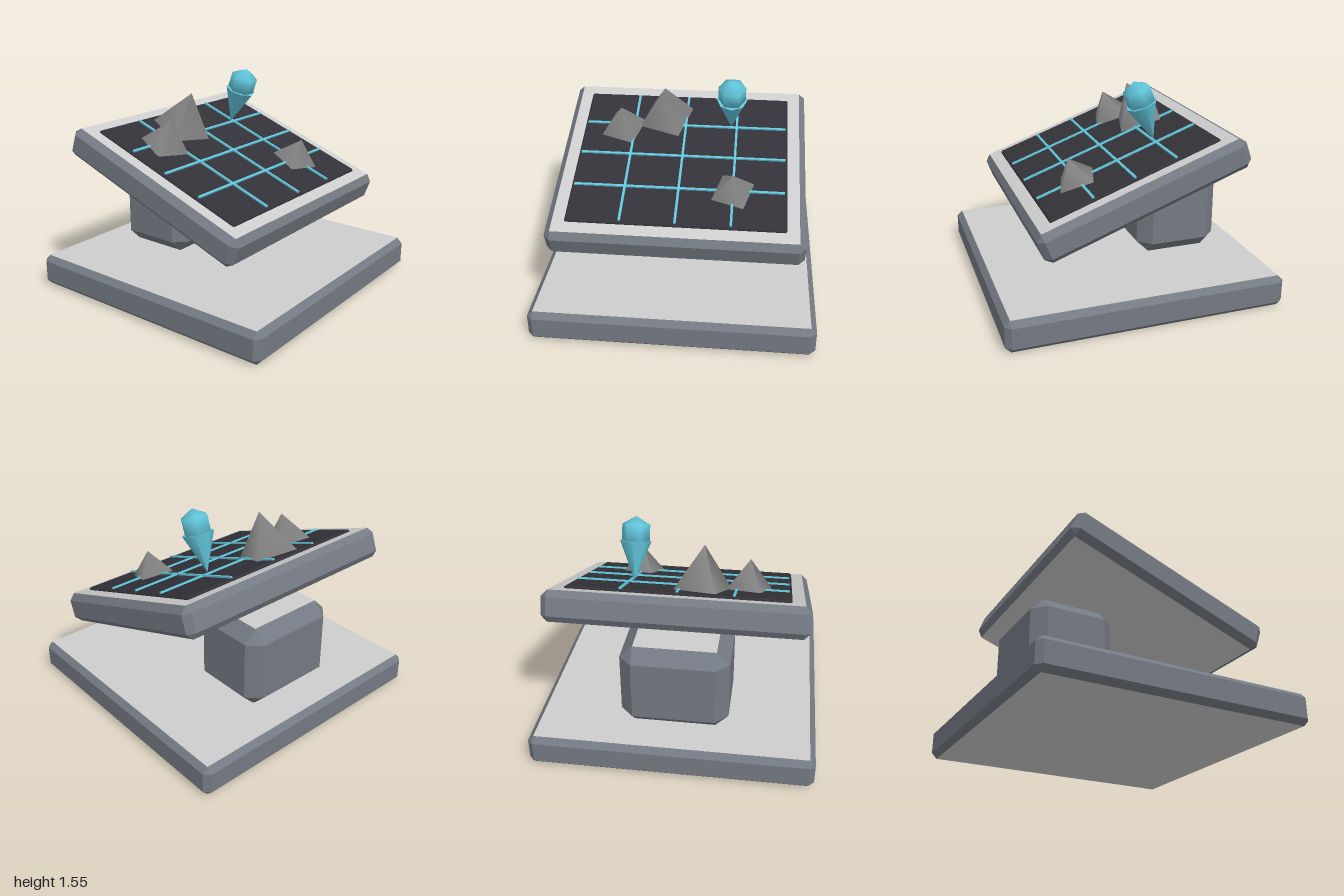
import * as THREE from 'three';

const mat = (name, color) => {
  const m = new THREE.MeshStandardMaterial({ color });
  m.name = name;
  return m;
};

// Box with every edge cut at 45 degrees; group 0 = walls and chamfers, group 1 = top and bottom
function chamferBox(w, h, d, c) {
  const X = w / 2, Y = h / 2, Z = d / 2;
  const ring = (y, cap) => {
    const pts = [];
    for (const [sx, sz] of [[1, 1], [1, -1], [-1, -1], [-1, 1]]) {
      const a = new THREE.Vector3(sx * (X - c), y, sz * (cap ? Z - c : Z));
      const b = new THREE.Vector3(sx * (cap ? X - c : X), y, sz * (Z - c));
      pts.push(...(sx * sz > 0 ? [a, b] : [b, a]));
    }
    return pts;
  };
  const rings = [ring(-Y, true), ring(-Y + c, false), ring(Y - c, false), ring(Y, true)];
  const verts = [];
  const tri = (p, q, r) => {
    if (p.equals(q) || q.equals(r) || r.equals(p)) return;
    verts.push(p, q, r);
  };
  for (let i = 0; i < 3; i++) {
    const lo = rings[i], hi = rings[i + 1];
    for (let j = 0; j < 8; j++) {
      const k = (j + 1) % 8;
      tri(lo[j], lo[k], hi[k]);
      tri(lo[j], hi[k], hi[j]);
    }
  }
  const wallCount = verts.length;
  const [b, t] = [rings[0], rings[3]];
  tri(t[0], t[2], t[4]);
  tri(t[0], t[4], t[6]);
  tri(b[0], b[4], b[2]);
  tri(b[0], b[6], b[4]);
  const g = new THREE.BufferGeometry().setFromPoints(verts);
  g.addGroup(0, wallCount, 0);
  g.addGroup(wallCount, verts.length - wallCount, 1);
  g.computeVertexNormals();
  return g;
}

export function createModel() {
  const steel = mat('steelGrey', 0x747a83);
  const pale = mat('paleGrey', 0xcdcdcd);
  const dark = mat('darkScreen', 0x333238);
  const cyan = mat('cyan', 0x62c6dc);
  const stone = mat('stoneGrey', 0x808080);

  const model = new THREE.Group();
  model.name = 'mapTable';
  const add = (parent, name, geo, material, x, y, z) => {
    const m = new THREE.Mesh(geo, material);
    m.name = name;
    m.position.set(x, y, z);
    parent.add(m);
    return m;
  };

  // Base slab and pedestal
  add(model, 'base', chamferBox(2, 0.23, 2, 0.04), [steel, pale], 0, 0.115, 0);
  add(model, 'pedestal', chamferBox(0.765, 0.62, 0.615, 0.092), [steel, pale], 0, 0.54, -0.458);

  // Tilted table: everything on it shares its slope
  const table = new THREE.Group();
  table.name = 'tiltedTable';
  table.position.set(0, 0.886, 0);
  table.rotation.x = THREE.MathUtils.degToRad(20);
  model.add(table);
  add(table, 'frame', chamferBox(1.8, 0.22, 1.537, 0.045), [steel, pale], 0, 0, 0);
  add(table, 'screen', chamferBox(1.535, 0.04, 1.27, 0.01), [dark, dark], 0, 0.107, 0);

  // Grid lines
  for (const i of [-1, 0, 1]) {
    add(table, 'gridColumn', new THREE.BoxGeometry(0.017, 0.014, 1.235), cyan, i * 0.385, 0.132, 0);
    add(table, 'gridRow', new THREE.BoxGeometry(1.5, 0.014, 0.017), cyan, 0, 0.132, i * 0.309);
  }

  // Four-sided mountains: x, z, radius, height
  for (const [x, z, r, h] of [
    [-0.152, -0.395, 0.222, 0.31],
    [-0.468, -0.27, 0.182, 0.215],
    [0.385, 0.313, 0.173, 0.18],
  ]) {
    const peak = add(table, 'mountain', new THREE.ConeGeometry(r, h, 4), stone, x, 0.122 + h / 2, z);
    peak.rotation.y = 0.49;
  }

  // Location marker: cone on its tip with a ball on top
  const marker = new THREE.Group();
  marker.name = 'marker';
  marker.position.set(0.345, 0.143, -0.312);
  table.add(marker);
  const tip = add(marker, 'markerCone', new THREE.ConeGeometry(0.113, 0.28, 8), cyan, 0, 0.14, 0);
  tip.rotation.x = Math.PI;
  add(marker, 'markerBall', new THREE.SphereGeometry(0.115, 6, 3), cyan, 0, 0.338, 0);

  return model;
}
